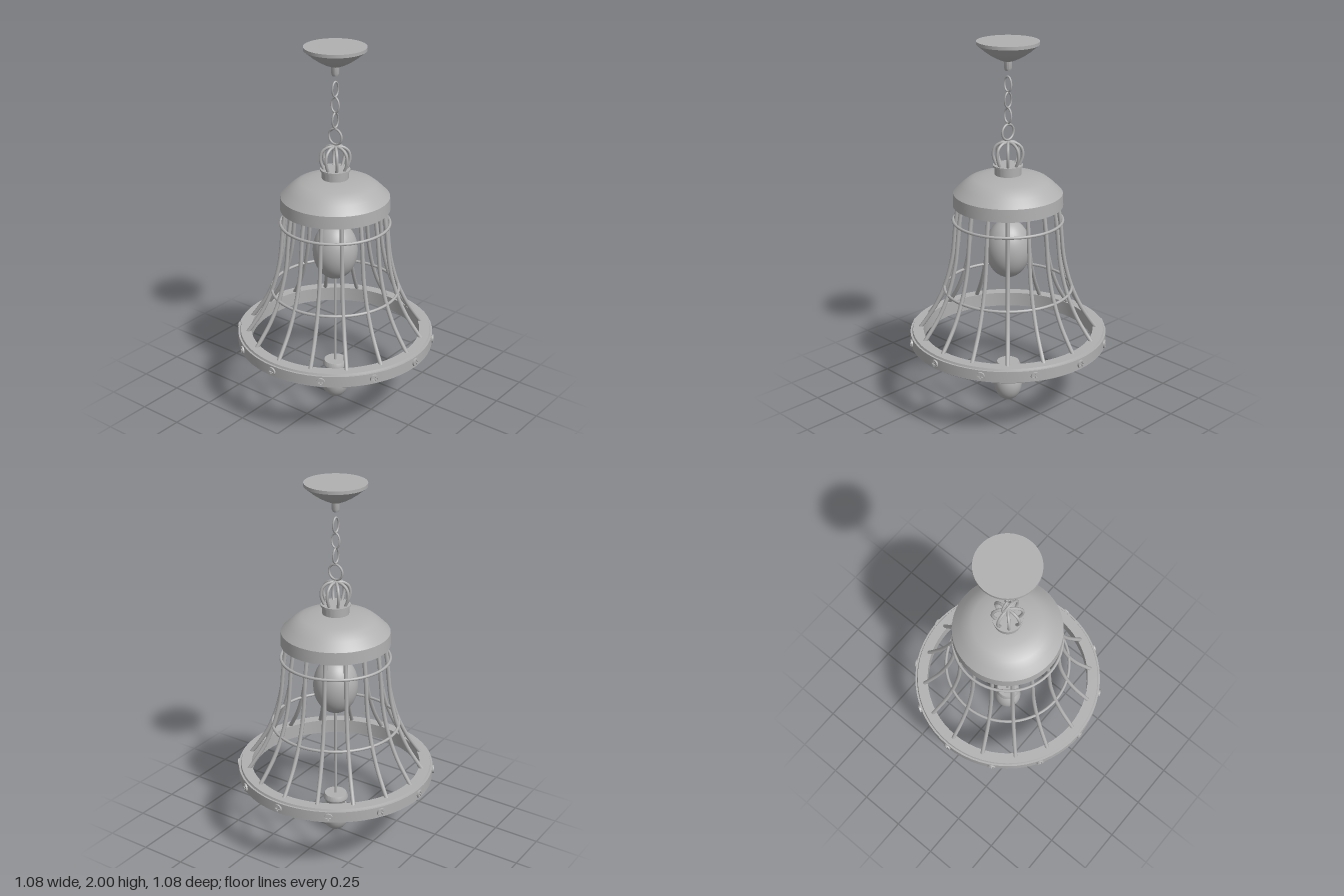
import * as THREE from 'three';
import { toCreasedNormals } from 'three/addons/utils/BufferGeometryUtils.js';

const metal = new THREE.MeshStandardMaterial({ color: 0xb0b0b0 });
metal.name = 'grey metal';

export function createModel() {
  const root = new THREE.Group();
  root.name = 'bellLantern';

  const add = (name, geometry, parent = root) => {
    const mesh = new THREE.Mesh(geometry, metal);
    mesh.name = name;
    parent.add(mesh);
    return mesh;
  };
  // Turned part; the profile climbs the outside as [radius, height] pairs
  const lathe = (name, profile, crease = 0.5) =>
    add(name, toCreasedNormals(new THREE.LatheGeometry(
      profile.map(([r, y]) => new THREE.Vector2(r, y)), 64), crease));
  // Round bar following [radius, height] points, repeated around the axis
  const bars = (name, points, count, radius, segments) => {
    const curve = new THREE.CatmullRomCurve3(points.map(([r, y]) => new THREE.Vector3(r, y, 0)));
    const geometry = new THREE.TubeGeometry(curve, segments, radius, 8);
    const group = new THREE.Group();
    group.name = name + 's';
    root.add(group);
    for (let i = 0; i < count; i++) {
      add(name, geometry, group).rotation.y = i * Math.PI * 2 / count;
    }
    return group;
  };
  const hoop = (name, y, radius, tube) => {
    const mesh = add(name, new THREE.TorusGeometry(radius, tube, 8, 64));
    mesh.rotation.x = Math.PI / 2;
    mesh.position.y = y;
  };

  // Ceiling canopy with its stem
  lathe('ceilingCanopy', [[0, 1.9], [0.03, 1.9], [0.06, 1.913], [0.09, 1.93], [0.122, 1.952],
    [0.128, 1.958], [0.16, 1.983], [0.16, 2], [0, 2]]);
  lathe('canopyStem', [[0, 1.85], [0.015, 1.85], [0.02, 1.862], [0.02, 1.91], [0, 1.91]]);

  // Chain of alternating oval links ending in a round ring
  [1.78, 1.698, 1.617].forEach((y, i) => {
    const link = add('chainLink', new THREE.TorusGeometry(0.039, 0.0055, 8, 28));
    link.scale.set(0.62, 1, 1);
    link.position.y = y;
    link.rotation.y = i % 2 ? Math.PI / 2 : 0;
  });
  const ring = add('hangingRing', new THREE.TorusGeometry(0.041, 0.006, 8, 32));
  ring.position.y = 1.53;
  ring.rotation.y = Math.PI / 2;

  // Crown of curved arms on a collar
  bars('crownArm', [[0.05, 1.34], [0.066, 1.37], [0.077, 1.41], [0.068, 1.45],
    [0.04, 1.472], [0, 1.476]], 8, 0.008, 18);
  lathe('collar', [[0, 1.29], [0.07, 1.29], [0.07, 1.345], [0.078, 1.347], [0.078, 1.357], [0, 1.357]]);

  // Hollow domed cap with a straight skirt
  lathe('domedCap', [[0.272, 1.14], [0.289, 1.14], [0.286, 1.207], [0.278, 1.215], [0.245, 1.248],
    [0.21, 1.276], [0.18, 1.289], [0.13, 1.3], [0.07, 1.306], [0, 1.306],
    [0, 1.292], [0.07, 1.292], [0.17, 1.277], [0.23, 1.24], [0.27, 1.205], [0.272, 1.14]], 0.45);

  // Flared cage
  bars('cageBar', [[0.255, 1.2], [0.263, 1.13], [0.276, 1.04], [0.294, 0.86], [0.315, 0.76],
    [0.341, 0.675], [0.39, 0.565], [0.445, 0.478], [0.478, 0.432]], 16, 0.011, 32);
  hoop('upperHoop', 1.057, 0.288, 0.008);
  hoop('lowerHoop', 0.676, 0.341, 0.008);

  // Heavy bottom rim with a raised outer band
  lathe('bottomRim', [[0.458, 0.36], [0.515, 0.36], [0.519, 0.37], [0.529, 0.37], [0.529, 0.43],
    [0.519, 0.43], [0.515, 0.44], [0.458, 0.44], [0.458, 0.36]], 0.3);

  // Cross-slotted screws around the rim
  const head = new THREE.Shape().absarc(0, 0, 0.022, 0, Math.PI * 2, false);
  const a = 0.004, b = 0.014;
  head.holes.push(new THREE.Path([[a, a], [a, b], [-a, b], [-a, a], [-b, a], [-b, -a],
    [-a, -a], [-a, -b], [a, -b], [a, -a], [b, -a], [b, a]].map(([x, y]) => new THREE.Vector2(x, y))));
  const headGeometry = new THREE.ExtrudeGeometry(head, { depth: 0.017, bevelEnabled: false, curveSegments: 16 });
  headGeometry.translate(0, 0, 0.521);
  const screws = new THREE.Group();
  screws.name = 'rimScrews';
  root.add(screws);
  for (let i = 0; i < 12; i++) {
    const screw = add('rimScrew', headGeometry, screws);
    screw.position.y = 0.4;
    screw.rotation.y = i * Math.PI / 6;
  }

  // Central rod, egg-shaped globe and clapper
  const rod = add('centreRod', new THREE.CylinderGeometry(0.008, 0.008, 1.1, 12));
  rod.position.y = 0.75;
  const globe = add('globe', new THREE.SphereGeometry(1, 40, 28));
  globe.scale.set(0.12, 0.16, 0.12);
  globe.position.y = 0.895;
  lathe('clapperCap', [[0, 0.165], [0.052, 0.165], [0.054, 0.18], [0.068, 0.203], [0.068, 0.211],
    [0.06, 0.23], [0, 0.23]]);
  const clapper = add('clapperBall', new THREE.SphereGeometry(1, 32, 24));
  clapper.scale.set(0.077, 0.098, 0.077);
  clapper.position.y = 0.098;

  return root;
}
